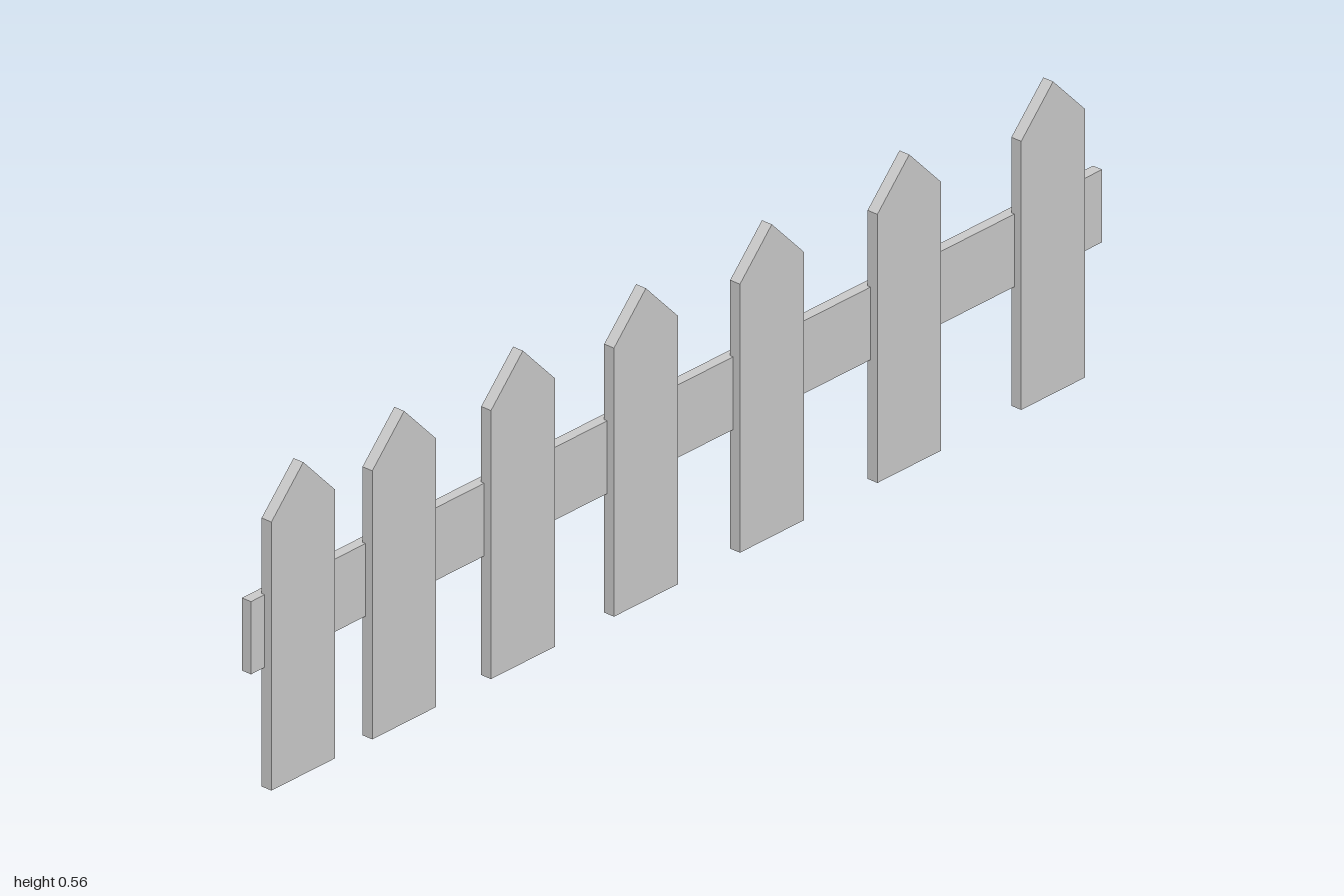
import * as THREE from 'three';

export function createModel() {
  const fence = new THREE.Group();
  fence.name = 'picketFence';
  const wood = new THREE.MeshStandardMaterial({ color: 0xcccccc, flatShading: true });

  // Horizontal rail behind the pickets
  const rail = new THREE.Mesh(new THREE.BoxGeometry(0.0195, 0.13, 2), wood);
  rail.name = 'rail';
  rail.position.set(-0.0073, 0.28, 0);
  fence.add(rail);

  // Pointed picket outline, extruded and turned to face +x
  const halfWidth = 0.075, shoulder = 0.48, peak = 0.558, thickness = 0.021;
  const outline = new THREE.Shape([
    new THREE.Vector2(-halfWidth, 0),
    new THREE.Vector2(halfWidth, 0),
    new THREE.Vector2(halfWidth, shoulder),
    new THREE.Vector2(0, peak),
    new THREE.Vector2(-halfWidth, shoulder),
  ]);
  const picketGeometry = new THREE.ExtrudeGeometry(outline, { depth: thickness, bevelEnabled: false });
  picketGeometry.rotateY(Math.PI / 2);

  // Unevenly spaced pickets along the rail
  [0.893, 0.656, 0.377, 0.088, -0.208, -0.531, -0.869].forEach((z, i) => {
    const picket = new THREE.Mesh(picketGeometry, wood);
    picket.name = `picket${i + 1}`;
    picket.position.set(-0.004, 0, z);
    fence.add(picket);
  });

  return fence;
}
